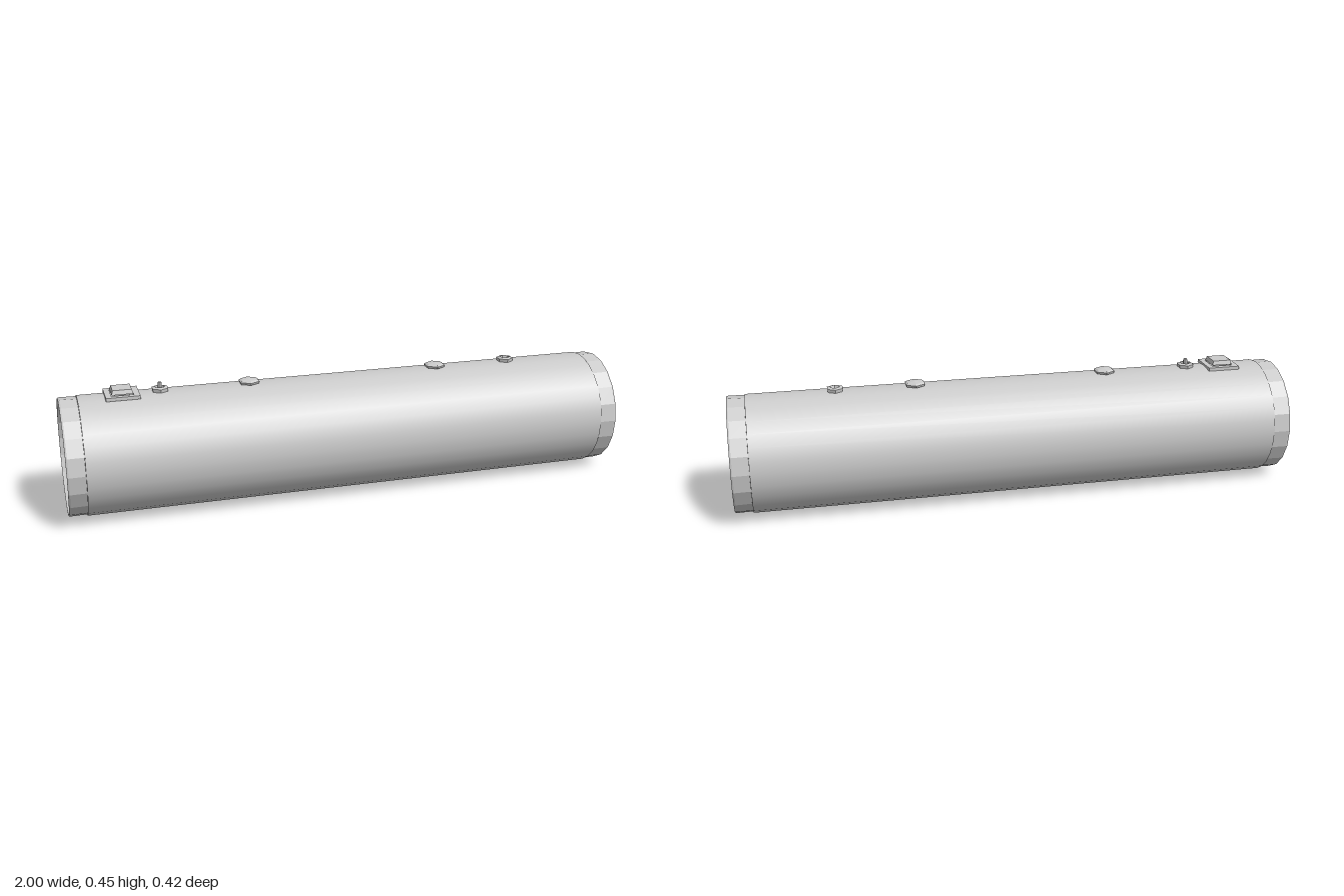
import * as THREE from 'three';

const AXIS_Y = 0.21;

export function createModel() {
  const model = new THREE.Group();
  const smooth = new THREE.MeshStandardMaterial({ color: 0xcccccc });
  const flat = new THREE.MeshStandardMaterial({ color: 0xcccccc, flatShading: true });
  const twoSided = new THREE.MeshStandardMaterial({ color: 0xcccccc, flatShading: true, side: THREE.DoubleSide });

  const add = (name, geometry, material, x, y, z = 0, parent = model) => {
    const mesh = new THREE.Mesh(geometry, material);
    mesh.name = name;
    mesh.position.set(x, y, z);
    parent.add(mesh);
    return mesh;
  };

  // Long smooth outer tube, open where the collars begin
  const tube = new THREE.CylinderGeometry(0.208, 0.208, 1.875, 28, 1, true);
  tube.rotateZ(Math.PI / 2);
  add('outerTube', tube, smooth, 0, AXIS_Y);

  // End collars: outer band, thin lip and an inward sloping rim
  const collarProfile = [
    [0.208, 0.936], [0.204, 0.938], [0.205, 0.994], [0.203, 1.0],
    [0.199, 1.0], [0.187, 0.962],
  ].map(([r, h]) => new THREE.Vector2(r, h));
  for (const side of [1, -1]) {
    const collar = new THREE.LatheGeometry(collarProfile, 20);
    collar.rotateZ(-side * Math.PI / 2);
    add(side > 0 ? 'leftCollar' : 'rightCollar', collar, twoSided, 0, AXIS_Y);
  }

  // Core pierced by nineteen hexagonal channels on a tilted honeycomb grid
  const disc = new THREE.Shape();
  disc.absarc(0, 0, 0.197, 0, Math.PI * 2);
  const spacing = 0.079, tilt = THREE.MathUtils.degToRad(16);
  for (let q = -2; q <= 2; q++) {
    for (let r = -2; r <= 2; r++) {
      if (Math.abs(q + r) > 2) continue;
      const u = spacing * (q + r / 2), v = spacing * r * Math.sqrt(3) / 2;
      const z = u * Math.cos(tilt) - v * Math.sin(tilt);
      const y = u * Math.sin(tilt) + v * Math.cos(tilt);
      const corners = [];
      for (let i = 0; i < 6; i++) {
        const a = THREE.MathUtils.degToRad(102) - i * Math.PI / 3;
        corners.push(new THREE.Vector2(-z + 0.034 * Math.cos(a), y + 0.034 * Math.sin(a)));
      }
      disc.holes.push(new THREE.Path(corners));
    }
  }
  // The bevel flares every channel towards both ends
  const core = new THREE.ExtrudeGeometry(disc, {
    depth: 1.87, curveSegments: 14, bevelEnabled: true,
    bevelSize: 0.004, bevelOffset: -0.004, bevelThickness: 0.025, bevelSegments: 1,
  });
  core.translate(0, 0, -0.935);
  core.rotateY(Math.PI / 2);
  add('honeycombCore', core, flat, 0, AXIS_Y);

  // Square switch: frame with a raised button
  const switchGroup = new THREE.Group();
  switchGroup.name = 'switch';
  switchGroup.position.set(-0.788, 0, 0);
  model.add(switchGroup);
  const frame = new THREE.Shape();
  frame.moveTo(-0.058, -0.058).lineTo(0.058, -0.058).lineTo(0.058, 0.058).lineTo(-0.058, 0.058).closePath();
  const opening = new THREE.Path();
  opening.moveTo(-0.038, -0.038).lineTo(-0.038, 0.038).lineTo(0.038, 0.038).lineTo(0.038, -0.038).closePath();
  frame.holes.push(opening);
  const frameGeometry = new THREE.ExtrudeGeometry(frame, { depth: 0.012, bevelEnabled: false });
  frameGeometry.rotateX(-Math.PI / 2);
  add('switchFrame', frameGeometry, flat, 0, 0.412, 0, switchGroup);
  add('switchStem', new THREE.BoxGeometry(0.05, 0.02, 0.05), flat, 0, 0.42, 0, switchGroup);
  const button = new THREE.CylinderGeometry(0.046, 0.052, 0.015, 4);
  button.rotateY(Math.PI / 4);
  add('switchButton', button, flat, 0, 0.434, 0, switchGroup);

  // Two domed hexagonal bolts
  const hexProfile = [[0.036, 0], [0.039, 0.008], [0.031, 0.013], [0, 0.017]]
    .map(([r, h]) => new THREE.Vector2(r, h));
  for (const x of [-0.345, 0.35]) {
    add('hexBolt', new THREE.LatheGeometry(hexProfile, 6), twoSided, x, 0.418);
  }

  // Two small socket screws: hexagonal ring with a sunken centre
  const socketProfile = [[0.029, 0], [0.031, 0.012], [0.018, 0.016], [0.014, 0.005], [0, 0.005]]
    .map(([r, h]) => new THREE.Vector2(r, h));
  for (const x of [-0.657, 0.63]) {
    add('socketScrew', new THREE.LatheGeometry(socketProfile, 6), twoSided, x, 0.417);
  }
  add('screwPin', new THREE.CylinderGeometry(0.007, 0.009, 0.03, 6), flat, -0.657, 0.433);

  return model;
}
